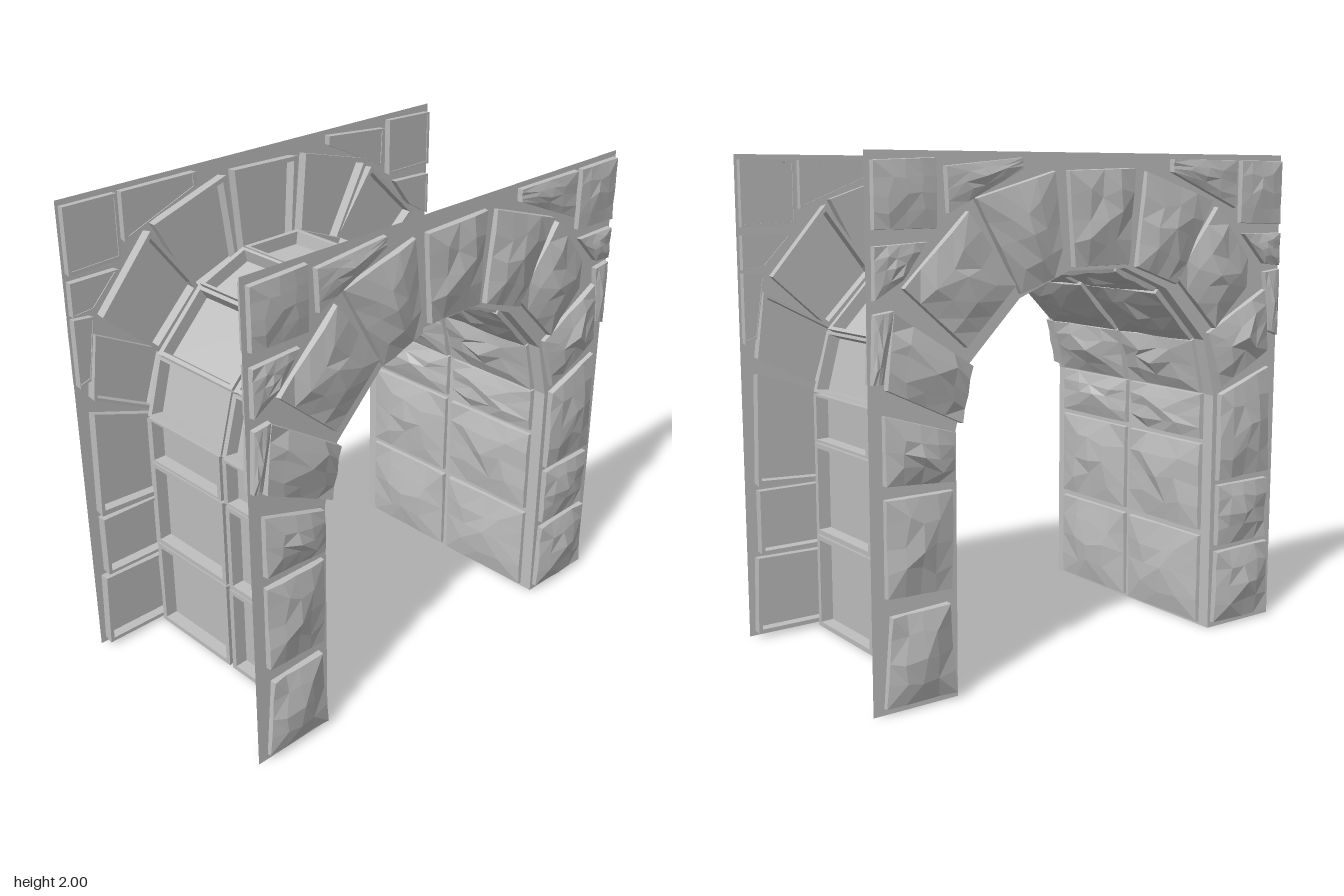
import * as THREE from 'three';

const stoneMat = new THREE.MeshStandardMaterial({ color: 0xbebebe });
stoneMat.name = 'stone grey';
const mortarMat = new THREE.MeshStandardMaterial({ color: 0xc2c2c2, side: THREE.DoubleSide });
mortarMat.name = 'mortar grey';

let seed = 11;
const rnd = () => {
  seed = (seed * 16807) % 2147483647;
  return seed / 2147483647;
};

// Rough-hewn block: sloped sides, a faceted bulging face and a flat back sunk
// by `pocket` inside a narrow rim. corners run clockwise from top left;
// place(x, y, h) maps the block into space.
function stone(name, corners, { rim, bulge, pocket }, place) {
  const n = 4, [tl, tr, br, bl] = corners;
  const mix = (a, b, t) => a + (b - a) * t;
  const at = (u, v) => [0, 1].map(k => mix(mix(bl[k], br[k], u), mix(tl[k], tr[k], u), v));
  const scaled = (u, v, s, h) => place(...at(mix(0.5, u, s), mix(0.5, v, s)), h);
  const front = [], back = [];
  for (let j = 0; j <= n; j++) for (let i = 0; i <= n; i++) {
    const edge = i === 0 || j === 0 || i === n || j === n;
    let u = i / n, v = j / n;
    back.push(scaled(u, v, 1, 0));
    if (!edge) { u += (rnd() - 0.5) * 0.13; v += (rnd() - 0.5) * 0.13; }
    const dome = i === 2 && j === 2 ? 0.8 : 0.3;
    const h = edge ? rim + (rnd() - 0.5) * bulge * 0.3 : rim + bulge * (dome + rnd() * 0.4);
    front.push(scaled(u, v, 0.96, h));
  }
  const pos = [];
  const quad = (a, b, c, d, flip) => {
    const t = flip ? [a, b, d, b, c, d] : [a, b, c, a, c, d];
    t.forEach(p => pos.push(...p));
  };
  // Rough face
  const id = (i, j) => j * (n + 1) + i;
  for (let j = 0; j < n; j++) for (let i = 0; i < n; i++)
    quad(front[id(i, j)], front[id(i + 1, j)], front[id(i + 1, j + 1)], front[id(i, j + 1)], rnd() > 0.5);
  // Sides
  const ring = [];
  for (let k = 0; k < n; k++) ring.push(id(k, 0));
  for (let k = 0; k < n; k++) ring.push(id(n, k));
  for (let k = n; k > 0; k--) ring.push(id(k, n));
  for (let k = n; k > 0; k--) ring.push(id(0, k));
  ring.forEach((a, k) => {
    const b = ring[(k + 1) % ring.length];
    quad(back[a], back[b], front[b], front[a]);
  });
  // Back rim, pocket walls and sunk back
  const uv = [[0, 0], [1, 0], [1, 1], [0, 1]];
  const outer = uv.map(([u, v]) => scaled(u, v, 1, 0));
  const inner = uv.map(([u, v]) => scaled(u, v, 0.9, 0));
  const deep = uv.map(([u, v]) => scaled(u, v, 0.9, pocket));
  for (let k = 0; k < 4; k++) {
    const m = (k + 1) % 4;
    quad(outer[k], inner[k], inner[m], outer[m]);
    quad(inner[k], deep[k], deep[m], inner[m]);
  }
  quad(deep[0], deep[3], deep[2], deep[1]);
  const geo = new THREE.BufferGeometry();
  geo.setAttribute('position', new THREE.Float32BufferAttribute(pos, 3));
  geo.computeVertexNormals();
  const mesh = new THREE.Mesh(geo, stoneMat);
  mesh.name = name;
  return mesh;
}

// Face stones, corners clockwise
const legStones = [
  [[-.93, .37], [-.68, .38], [-.65, .02], [-.96, .02]],
  [[-.95, .80], [-.66, .80], [-.67, .42], [-.95, .43]],
  [[-.95, 1.10], [-.66, 1.01], [-.65, .82], [-.95, .84]],
  [[.66, 1.02], [.95, 1.12], [.96, .65], [.66, .64]],
  [[.66, .63], [.955, .63], [.955, .36], [.66, .36]],
  [[.66, .34], [.97, .345], [.98, .02], [.65, .02]],
];
const archStones = [
  [[-.91, 1.46], [-.57, 1.24], [-.62, 1.03], [-.94, 1.18]],
  [[-.87, 1.53], [-.59, 1.80], [-.38, 1.52], [-.60, 1.30]],
  [[-.57, 1.84], [-.20, 1.94], [-.16, 1.55], [-.36, 1.48]],
  [[-.15, 1.94], [.19, 1.95], [.155, 1.57], [-.12, 1.57]],
  [[.235, 1.94], [.60, 1.82], [.41, 1.48], [.19, 1.56]],
  [[.62, 1.80], [.87, 1.51], [.62, 1.29], [.40, 1.51]],
  [[.91, 1.45], [.945, 1.18], [.66, 1.04], [.58, 1.28]],
];
const cornerStones = [
  [[-.98, 1.97], [-.72, 1.98], [-.72, 1.73], [-.98, 1.73]],
  [[-.69, 1.95], [-.35, 1.98], [-.35, 1.94], [-.68, 1.78]],
  [[-.98, 1.68], [-.76, 1.69], [-.86, 1.56], [-.98, 1.49]],
  [[-.98, 1.45], [-.90, 1.46], [-.95, 1.20], [-.99, 1.20]],
  [[.37, 1.98], [.73, 1.98], [.73, 1.78], [.37, 1.93]],
  [[.75, 1.98], [.99, 1.98], [.99, 1.71], [.75, 1.72]],
  [[.77, 1.68], [.99, 1.68], [.99, 1.54], [.90, 1.55]],
  [[.90, 1.52], [.99, 1.53], [.99, 1.24], [.94, 1.26]],
];
const faceCut = { rim: 0.07, bulge: 0.034, pocket: 0.045 };
const cornerCut = { rim: 0.055, bulge: 0.015, pocket: 0.004 };
const vaultCut = { rim: 0.078, bulge: 0.03, pocket: 0.055 };

// Joints along the outside of the vault, left foot over the crown to right foot
const joints = [
  [-.70, 0], [-.70, .41], [-.70, .81], [-.70, 1.02], [-.63, 1.28], [-.39, 1.52], [-.14, 1.62],
  [.16, 1.62], [.40, 1.52], [.63, 1.28], [.70, 1.02], [.70, .81], [.70, .41], [.70, 0],
].map(p => new THREE.Vector2(...p));

// Same line moved inwards, used for the mortar
const mortarLine = joints.map((p, i) => {
  const a = joints[Math.max(i - 1, 0)], b = joints[Math.min(i + 1, joints.length - 1)];
  const t = b.clone().sub(a).normalize();
  return new THREE.Vector2(p.x + t.y * 0.06, p.y - t.x * 0.06);
});

function createHalf() {
  const half = new THREE.Group();

  // Facade stones
  const onFace = (x, y, h) => [x, y, 0.475 + h];
  const onCorner = (x, y, h) => [x, y, 0.49 + h];
  legStones.forEach(c => half.add(stone('legStone', c, faceCut, onFace)));
  archStones.forEach(c => half.add(stone('archStone', c, faceCut, onFace)));
  cornerStones.forEach(c => half.add(stone('cornerStone', c, cornerCut, onCorner)));

  // Facade mortar sheet with the doorway cut out
  const shape = new THREE.Shape([
    new THREE.Vector2(-1, 0), ...mortarLine,
    new THREE.Vector2(1, 0), new THREE.Vector2(1, 2), new THREE.Vector2(-1, 2),
  ]);
  const sheet = new THREE.Mesh(new THREE.ShapeGeometry(shape), mortarMat);
  sheet.name = 'facadeMortar';
  sheet.position.z = 0.523;
  half.add(sheet);

  // Vault stones, one per pair of joints
  for (let i = 0; i < joints.length - 1; i++) {
    const a = joints[i], t = joints[i + 1].clone().sub(a), len = t.length();
    t.normalize();
    const taper = i >= 3 && i <= 9 ? 1.2 : 0.2;
    const place = (s, z, h) => {
      const k = len / 2 + (s - len / 2) * (1 - h * taper);
      return [a.x + t.x * k + t.y * h, a.y + t.y * k - t.x * h, z];
    };
    const z0 = 0.003 + rnd() * 0.012, g = 0.004;
    const c = [[g, .475], [len - g, .475], [len - g, z0], [g, z0]];
    half.add(stone('vaultStone', c, vaultCut, place));
  }

  // Vault mortar sheet
  const pos = [];
  for (let i = 0; i < mortarLine.length - 1; i++) {
    const p = mortarLine[i], q = mortarLine[i + 1];
    const A = [p.x, p.y, 0], B = [q.x, q.y, 0], C = [q.x, q.y, .523], D = [p.x, p.y, .523];
    [A, B, C, A, C, D].forEach(v => pos.push(...v));
  }
  const geo = new THREE.BufferGeometry();
  geo.setAttribute('position', new THREE.Float32BufferAttribute(pos, 3));
  geo.computeVertexNormals();
  const lining = new THREE.Mesh(geo, mortarMat);
  lining.name = 'vaultMortar';
  half.add(lining);
  return half;
}

export function createModel() {
  const model = new THREE.Group();
  model.name = 'stoneArch';
  const front = createHalf();
  front.name = 'frontHalf';
  const rear = front.clone();
  rear.name = 'rearHalf';
  rear.rotation.y = Math.PI;
  model.add(front, rear);
  return model;
}
